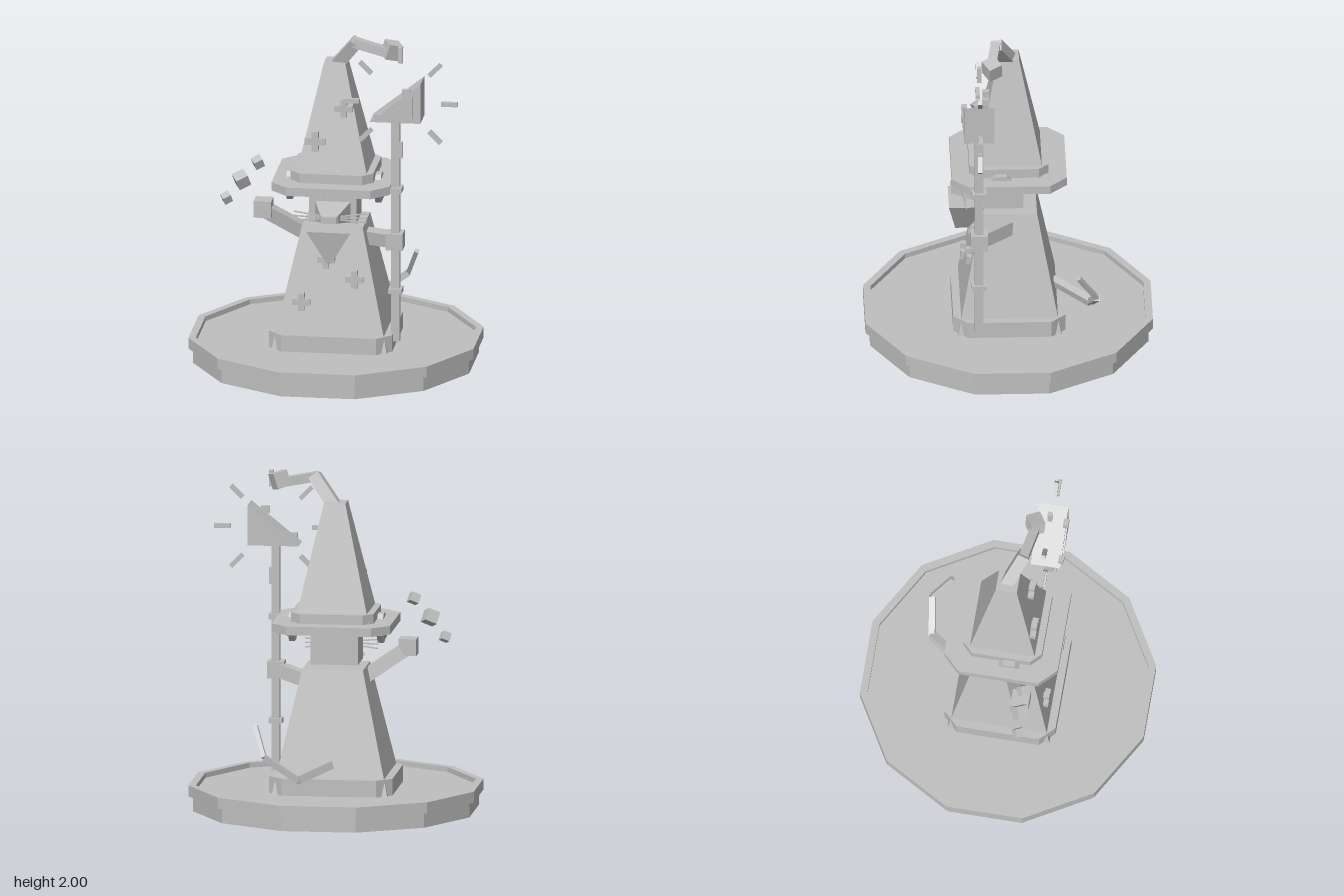
import * as THREE from 'three';

const stone = new THREE.MeshStandardMaterial({ color: 0xbfbfbf, flatShading: true });
stone.name = 'stone grey';

export function createModel() {
  const root = new THREE.Group();
  root.name = 'wizardMouse';

  const add = (name, geo, x = 0, y = 0, z = 0, rx = 0, ry = 0, rz = 0, parent = root) => {
    const m = new THREE.Mesh(geo, stone);
    m.name = name;
    m.position.set(x, y, z);
    m.rotation.set(rx, ry, rz);
    parent.add(m);
    return m;
  };
  const box = (name, w, h, d, ...rest) => add(name, new THREE.BoxGeometry(w, h, d), ...rest);

  // Box whose bottom and top rectangles differ, given as half sizes
  const frustum = (bx, bz, tx, tz, h) => {
    const g = new THREE.BoxGeometry(2, h, 2);
    const p = g.attributes.position;
    for (let i = 0; i < p.count; i++) {
      const top = p.getY(i) > 0;
      p.setX(i, p.getX(i) * (top ? tx : bx));
      p.setZ(i, p.getZ(i) * (top ? tz : bz));
    }
    g.computeVertexNormals();
    return g;
  };

  // Flat slab with chamfered corners, from y0 to y1
  const slab = (name, hx, hz, c, y0, y1) => {
    const s = new THREE.Shape([
      [hx, -hz + c], [hx, hz - c], [hx - c, hz], [-hx + c, hz],
      [-hx, hz - c], [-hx, -hz + c], [-hx + c, -hz], [hx - c, -hz],
    ].map(([x, y]) => new THREE.Vector2(x, y)));
    const g = new THREE.ExtrudeGeometry(s, { depth: y1 - y0, bevelEnabled: false });
    g.rotateX(-Math.PI / 2);
    return add(name, g, 0, y0, 0);
  };

  // Square bar between two points
  const bar = (name, a, b, w, w2 = w) => {
    const A = new THREE.Vector3(...a), B = new THREE.Vector3(...b);
    const m = add(name, frustum(w / 2, w / 2, w2 / 2, w2 / 2, A.distanceTo(B)));
    m.position.copy(A).add(B).multiplyScalar(0.5);
    m.up.set(0, 0, 1);
    m.lookAt(B);
    m.rotateX(Math.PI / 2);
    return m;
  };

  // Twelve-sided pedestal with a raised rim
  const profile = [[0, 0], [0.845, 0], [0.845, 0.09], [0.873, 0.09], [0.873, 0.155],
    [0.828, 0.155], [0.828, 0.125], [0, 0.125]].map(([x, y]) => new THREE.Vector2(x, y));
  add('pedestal', new THREE.LatheGeometry(profile, 12, Math.PI / 12));

  // Robe and hem
  add('robe', frustum(0.342, 0.303, 0.18, 0.165, 0.725), 0, 0.4875, 0);
  slab('robeHem', 0.365, 0.33, 0.085, 0.125, 0.225);

  // Hat
  slab('hatBrim', 0.35, 0.337, 0.1, 1.082, 1.133);
  slab('hatBand', 0.245, 0.233, 0.06, 1.133, 1.19);
  add('hatCone', frustum(0.22, 0.205, 0.063, 0.063, 0.695), 0, 1.4775, 0);
  bar('hatTipLower', [0, 1.79, -0.01], [0.135, 1.965, 0.075], 0.075, 0.07);
  bar('hatTipUpper', [0.12, 1.96, 0.075], [0.33, 1.915, 0.11], 0.055);
  box('hatTipEnd', 0.09, 0.095, 0.085, 0.345, 1.93, 0.105, 0.2, 0.5, -0.35);

  // Head, snout, eyes and beard
  box('head', 0.28, 0.215, 0.23, 0, 0.975, 0.027);
  add('snout', frustum(0.105, 0.062, 0.05, 0.022, 0.17), 0, 0.938, 0.225, Math.PI / 2);
  box('nose', 0.09, 0.04, 0.03, 0, 0.94, 0.32);
  const beard = frustum(0.13, 0.105, 0.015, 0.04, 0.2);
  const bp = beard.attributes.position;
  for (let i = 0; i < bp.count; i++) if (bp.getY(i) > 0) bp.setZ(i, bp.getZ(i) - 0.025);
  add('beard', beard, 0, 0.77, 0.245, Math.PI);

  for (const s of [-1, 1]) {
    box('eye', 0.05, 0.055, 0.03, s * 0.07, 1.05, 0.15);
    // Ears: octagonal discs with a raised inner disc
    const ear = new THREE.CylinderGeometry(0.093, 0.093, 0.035, 8);
    ear.rotateY(Math.PI / 8);
    add('ear', ear, s * 0.262, 1.073, 0.05, 0, 0, Math.PI / 2);
    const inner = new THREE.CylinderGeometry(0.065, 0.065, 0.02, 8);
    inner.rotateY(Math.PI / 8);
    add('innerEar', inner, s * 0.281, 1.073, 0.05, 0, 0, Math.PI / 2);
    for (const k of [-1, 0, 1]) {
      bar('whisker', [s * 0.06, 0.938 + k * 0.01, 0.27], [s * 0.215, 0.938 + k * 0.027, 0.25], 0.008);
    }
  }

  // Arms and hands
  bar('rightArm', [-0.13, 0.755, 0.04], [-0.4, 0.935, 0.14], 0.08);
  box('rightHand', 0.105, 0.1, 0.105, -0.41, 0.948, 0.143);
  bar('leftArm', [0.14, 0.755, -0.02], [0.37, 0.79, 0.175], 0.08);
  box('leftHand', 0.1, 0.1, 0.1, 0.374, 0.79, 0.18);

  // Staff with collars
  box('staff', 0.048, 1.365, 0.05, 0.378, 0.8575, 0.182);
  for (const y of [0.485, 1.105]) box('staffCollar', 0.08, 0.03, 0.085, 0.378, y, 0.182);

  // Wedge on the staff, with an inset panel and small studs
  const wedge = (name, pts, z, depth) => {
    const s = new THREE.Shape(pts.map(([x, y]) => new THREE.Vector2(x, y)));
    add(name, new THREE.ExtrudeGeometry(s, { depth, bevelEnabled: false }), 0, 0, z);
  };
  wedge('wedge', [[0.235, 1.535], [0.535, 1.535], [0.535, 1.775]], 0.095, 0.175);
  wedge('wedgePanel', [[0.32, 1.565], [0.49, 1.565], [0.49, 1.7]], 0.27, 0.008);
  box('wedgeStud', 0.045, 0.045, 0.03, 0.452, 1.722, 0.27);
  box('wedgeStud', 0.04, 0.045, 0.03, 0.28, 1.565, 0.27);

  // Eight rays of light around the wedge
  for (let i = 0; i < 8; i++) {
    const a = i * Math.PI / 4;
    box('ray', 0.097, 0.026, 0.026, 0.405 + 0.29 * Math.cos(a), 1.635 + 0.29 * Math.sin(a), 0.182, 0, 0, a);
  }

  // Floating sparks above the right hand
  for (const [x, y, size] of [[-0.44, 1.23, 0.055], [-0.537, 1.12, 0.075], [-0.625, 1.005, 0.05]]) {
    box('spark', size, size, size, x, y, 0.165, 0.4, 0.5, 0.25);
  }

  // Cross-shaped stars on the robe and hat
  for (const [x, y, z, size] of [[-0.03, 0.665, 0.215, 0.105], [0.14, 0.555, 0.232, 0.105],
    [-0.17, 0.415, 0.258, 0.105], [0.065, 1.57, 0.132, 0.105], [-0.1, 1.375, 0.173, 0.12]]) {
    const star = new THREE.Group();
    star.name = 'star';
    star.position.set(x, y, z);
    root.add(star);
    box('starBarWide', size, size / 3, 0.036, 0, 0, 0, 0, 0, 0, star);
    box('starBarTall', size / 3, size, 0.036, 0, 0, 0, 0, 0, 0, star);
  }

  // Tail in three straight segments
  const tail = [[0, 0.3, -0.26], [0.165, 0.245, -0.48], [0.36, 0.38, -0.51], [0.425, 0.55, -0.4]];
  const widths = [0.045, 0.036, 0.026];
  widths.forEach((w, i) => bar('tail', tail[i], tail[i + 1], w));

  return root;
}
